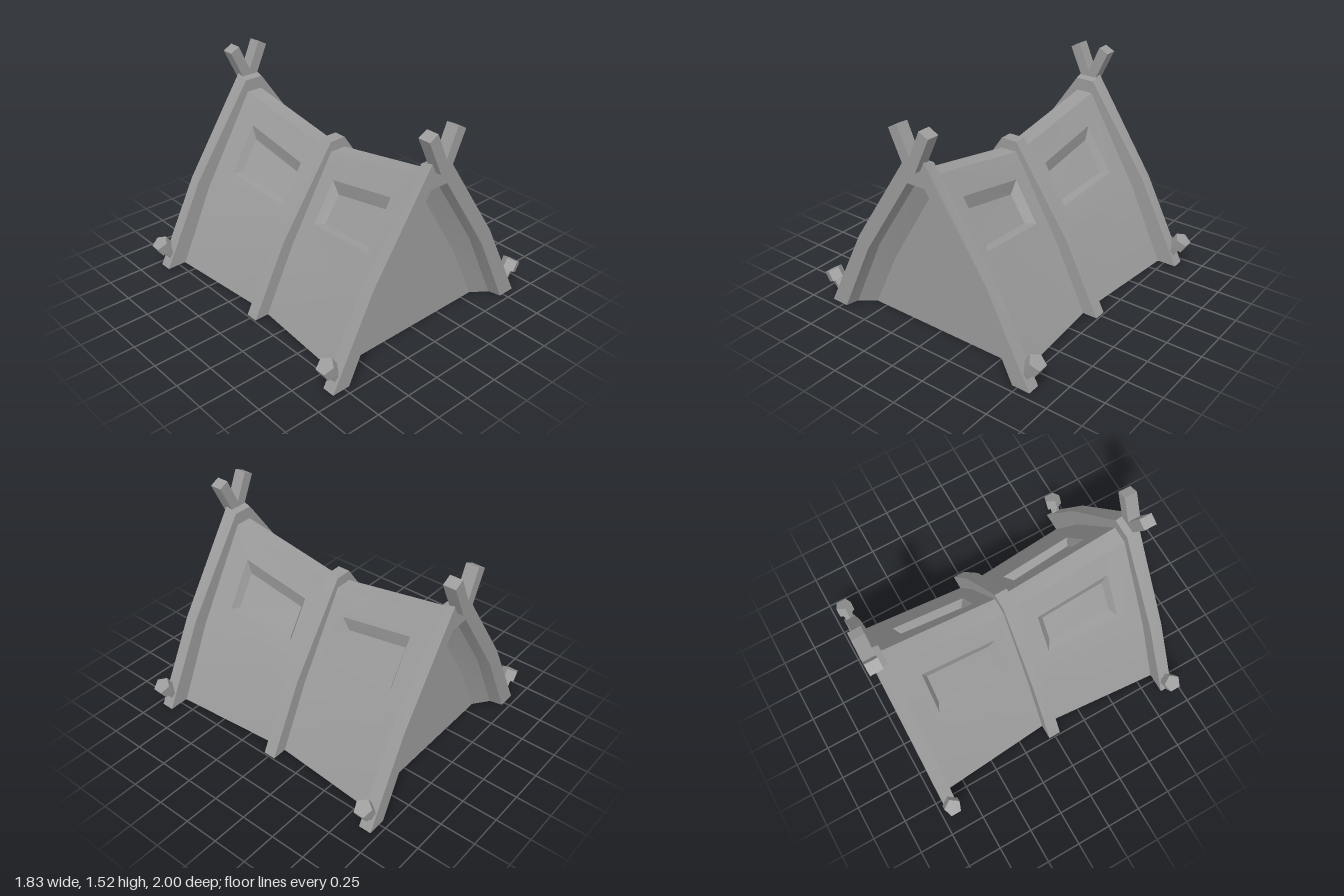
import * as THREE from 'three';
import { toCreasedNormals } from 'three/addons/utils/BufferGeometryUtils.js';

const GREY = 0x9b9b9b, CREASE = 0.5;
const material = new THREE.MeshStandardMaterial({ color: GREY });
const skin = new THREE.MeshStandardMaterial({ color: GREY, side: THREE.DoubleSide });

// half profiles, foot to ridge: [x, y]
const PANEL_END = [[0.70, 0], [0.45, 0.54], [0.06, 1.19]];
const PANEL_MID = [[0.63, 0], [0.41, 0.45], [0.06, 1.04]];
const RECESS_OUT = [[0.73, 0], [0.465, 0.55], [0.075, 1.15]];
const RECESS_IN = [[0.59, 0], [0.39, 0.42], [0.05, 0.98]];
const Z_END = 0.865, Z_SLEEVE = 0.885, Z_WALL = 0.78;

const at = (profile, i, z) => [...profile[i], z];

// mesh made of four-cornered faces
function quadMesh(name, quads) {
  const pos = [];
  for (const [a, b, c, d] of quads) pos.push(...a, ...b, ...c, ...a, ...c, ...d);
  const geo = new THREE.BufferGeometry();
  geo.setAttribute('position', new THREE.Float32BufferAttribute(pos, 3));
  const mesh = new THREE.Mesh(toCreasedNormals(geo, CREASE), skin);
  mesh.name = name;
  return mesh;
}

// repeat quads of the +x +z quarter with the given signs
function mirrorQuads(quads, sx, sz) {
  return quads.map((q) => {
    const m = q.map(([x, y, z]) => [x * sx, y, z * sz]);
    return sx * sz < 0 ? m.reverse() : m;
  });
}

// quads joining two four-cornered loops
const ring = (a, b) => a.map((p, i) => [p, a[(i + 1) % 4], b[(i + 1) % 4], b[i]]);

// arch made from an outer and an inner half profile
function archGeometry(outer, inner, depth) {
  const flip = (p) => p.map(([x, y]) => [-x, y]);
  const pts = [...outer, ...flip(outer).reverse(), ...flip(inner), ...[...inner].reverse()];
  const shape = new THREE.Shape(pts.map(([x, y]) => new THREE.Vector2(x, y)));
  return new THREE.ExtrudeGeometry(shape, { depth, bevelEnabled: false });
}

function solid(name, geo) {
  const mesh = new THREE.Mesh(toCreasedNormals(geo, CREASE), material);
  mesh.name = name;
  return mesh;
}

// quarter of the roof skin with a sunken window, its sill level
function panelQuads() {
  const facet = [at(PANEL_MID, 1, 0), at(PANEL_MID, 2, 0), at(PANEL_END, 2, Z_END), at(PANEL_END, 1, Z_END)];
  const opening = [[0.317, 0.64, 0.165], [0.15, 0.915, 0.165], [0.15, 1.01, 0.70], [0.34, 0.69, 0.70]];
  const pane = [[0.255, 0.644, 0.21], [0.14, 0.822, 0.21], [0.145, 0.907, 0.67], [0.28, 0.687, 0.67]];
  return [
    [at(PANEL_MID, 0, 0), at(PANEL_MID, 1, 0), at(PANEL_END, 1, Z_END), at(PANEL_END, 0, Z_END)],
    ...ring(facet, opening), ...ring(opening, pane), pane,
    [at(PANEL_MID, 2, 0), [0, 1.04, 0], [0, 1.19, Z_END], at(PANEL_END, 2, Z_END)],
  ].map((q) => [...q].reverse());
}

// half of the sunken end: sloping sleeve and closing wall
function recessQuads() {
  const out = (i) => at(RECESS_OUT, i, Z_SLEEVE), inn = (i) => at(RECESS_IN, i, Z_WALL);
  return [
    [out(0), out(1), inn(1), inn(0)],
    [out(1), out(2), inn(2), inn(1)],
    [out(2), [0, 1.15, Z_SLEEVE], [0, 0.98, Z_WALL], inn(2)],
    [[0, 0, Z_WALL], inn(0), inn(1), [0, 0.42, Z_WALL]],
    [[0, 0.42, Z_WALL], inn(1), inn(2), [0, 0.98, Z_WALL]],
  ];
}

// five-sided peg leaning outwards, on the +x side
function peg() {
  const group = new THREE.Group();
  group.name = 'peg';
  const head = solid('pegHead', new THREE.CylinderGeometry(0.063, 0.063, 0.075, 5));
  const shaft = solid('pegShaft', new THREE.CylinderGeometry(0.038, 0.03, 0.16, 5));
  shaft.position.y = -0.1;
  for (const part of [head, shaft]) {
    part.rotation.y = -Math.PI / 2;
    group.add(part);
  }
  group.rotation.z = -0.55;
  group.position.set(0.85, 0.19, 0.91);
  return group;
}

export function createModel() {
  const model = new THREE.Group();
  model.name = 'tent';

  // roof skin and sunken ends
  const roof = [], recess = [];
  for (const sx of [1, -1]) for (const sz of [1, -1]) {
    roof.push(...mirrorQuads(panelQuads(), sx, sz));
    recess.push(...mirrorQuads(recessQuads(), sx, sz));
  }
  model.add(quadMesh('roofPanels', roof), quadMesh('endWalls', recess));

  // middle band
  const band = archGeometry([[0.74, 0], [0.485, 0.505], [0.06, 1.12]], [[0.61, 0], [0.395, 0.44], [0.055, 1.02]], 0.09);
  band.translate(0, 0, -0.045);
  model.add(solid('middleBand', band));

  // end frame, its top falling towards the middle and its opening narrowing
  const frame = archGeometry([[0.845, 0.005], [0.53, 0.62], [0.07, 1.31]], [[0.715, 0.005], [0.455, 0.545], [0.07, 1.135]], 0.09);
  const p = frame.attributes.position;
  for (let i = 0; i < p.count; i++) {
    if (p.getZ(i) > 0.01) continue;
    const x = p.getX(i), y = p.getY(i);
    if (y > 1.25) p.setY(i, 1.28);
    else if (y > 1.1) p.setY(i, 1.115);
    else if (y < 0.1 && Math.abs(x) < 0.75) p.setX(i, Math.sign(x) * 0.695);
    else if (Math.abs(x) < 0.5) p.setX(i, Math.sign(x) * 0.44);
  }
  frame.translate(0, 0, Z_END);

  // crossed pole tips
  const tip = [[0.04, 1.245], [0.155, 1.49], [0.085, 1.525], [0, 1.335],
    [-0.085, 1.525], [-0.155, 1.49], [-0.04, 1.245]];
  const poles = new THREE.ExtrudeGeometry(
    new THREE.Shape(tip.map(([x, y]) => new THREE.Vector2(x, y))), { depth: 0.09, bevelEnabled: false });
  poles.translate(0, 0, 0.91);

  // both ends, the back one turned half round
  for (const [name, turn] of [['frontEnd', 0], ['backEnd', Math.PI]]) {
    const end = new THREE.Group();
    end.name = name;
    end.rotation.y = turn;
    const mirrored = new THREE.Group();
    mirrored.name = 'rightPeg';
    mirrored.scale.x = -1;
    mirrored.add(peg());
    end.add(solid('endFrame', frame), solid('poleTips', poles), peg(), mirrored);
    model.add(end);
  }
  return model;
}
